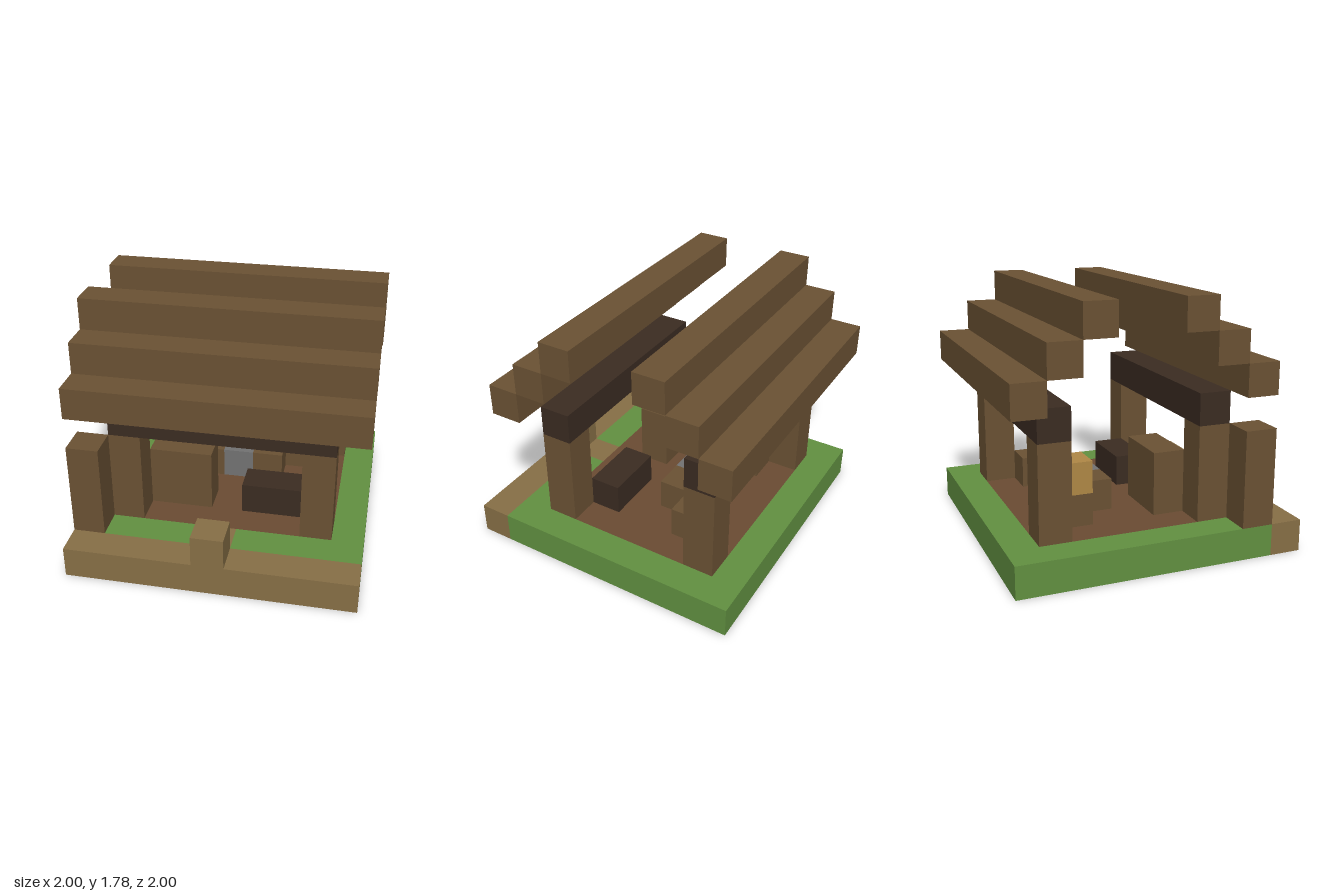
import * as THREE from 'three';

const CELL = 2 / 9; // the model sits on a 9 x 9 grid of cubes

function material(name, color) {
  const m = new THREE.MeshStandardMaterial({ color });
  m.name = name;
  return m;
}

export function createModel() {
  const wood = material('wood', 0x6b5234);
  const darkWood = material('darkWood', 0x3b2c22);
  const dirt = material('dirt', 0x6b4c33);
  const grass = material('grass', 0x629141);
  const path = material('path', 0x876f46);
  const stone = material('stone', 0x737373);
  const gold = material('gold', 0xb08846);

  const model = new THREE.Group();
  model.name = 'shelter';

  // Box from a starting cell (x, y, z) and a size in cells
  function block(name, mat, [x, y, z], [w, h, d]) {
    const mesh = new THREE.Mesh(new THREE.BoxGeometry(w * CELL, h * CELL, d * CELL), mat);
    mesh.position.set((x + w / 2) * CELL - 1, (y + h / 2) * CELL, (z + d / 2) * CELL - 1);
    mesh.name = name;
    model.add(mesh);
  }

  // Ground
  block('floor', dirt, [1, 0, 1], [7, 1, 6]);
  block('backGrass', grass, [1, 0, 0], [7, 1, 1]);
  for (const x of [0, 8]) block('sideGrass', grass, [x, 0, 0], [1, 1, 8]);
  for (const x of [1, 5]) block('frontGrass', grass, [x, 0, 7], [3, 1, 1]);
  block('road', path, [0, 0, 8], [9, 1, 1]);
  block('entrancePath', path, [4, 0, 7], [1, 1, 1]);
  block('roadBlock', path, [4, 1, 8], [1, 1, 1]);

  // Corner posts and the beams across them
  for (const z of [1, 6]) {
    for (const x of [1, 7]) block('cornerPost', wood, [x, 1, z], [1, 3, 1]);
    block('crossBeam', darkWood, [1, 4, z], [7, 1, 1]);
  }
  block('outerPost', wood, [0, 1, 7], [1, 3, 1]);

  // Stepped roof planks, open along the ridge
  for (let i = 0; i < 3; i++) {
    block('frontRoofPlank', wood, [0, 5 + i, 7 - i], [9, 1, 1]);
    block('backRoofPlank', wood, [0, 5 + i, i], [9, 1, 1]);
  }

  // Furnishings
  block('tallCounter', wood, [2, 1, 5], [2, 2, 1]);
  block('lowBench', darkWood, [5, 1, 5], [2, 1, 1]);
  for (const x of [3, 5]) block('workTop', wood, [x, 1, 3], [1, 1, 1]);
  block('stoneBlock', stone, [4, 1, 3], [1, 1, 1]);
  block('stool', wood, [6, 1, 2], [1, 1, 1]);
  block('pedestal', wood, [2, 1, 2], [1, 1, 1]);
  block('goldBlock', gold, [2, 2, 2], [1, 1, 1]);

  return model;
}
